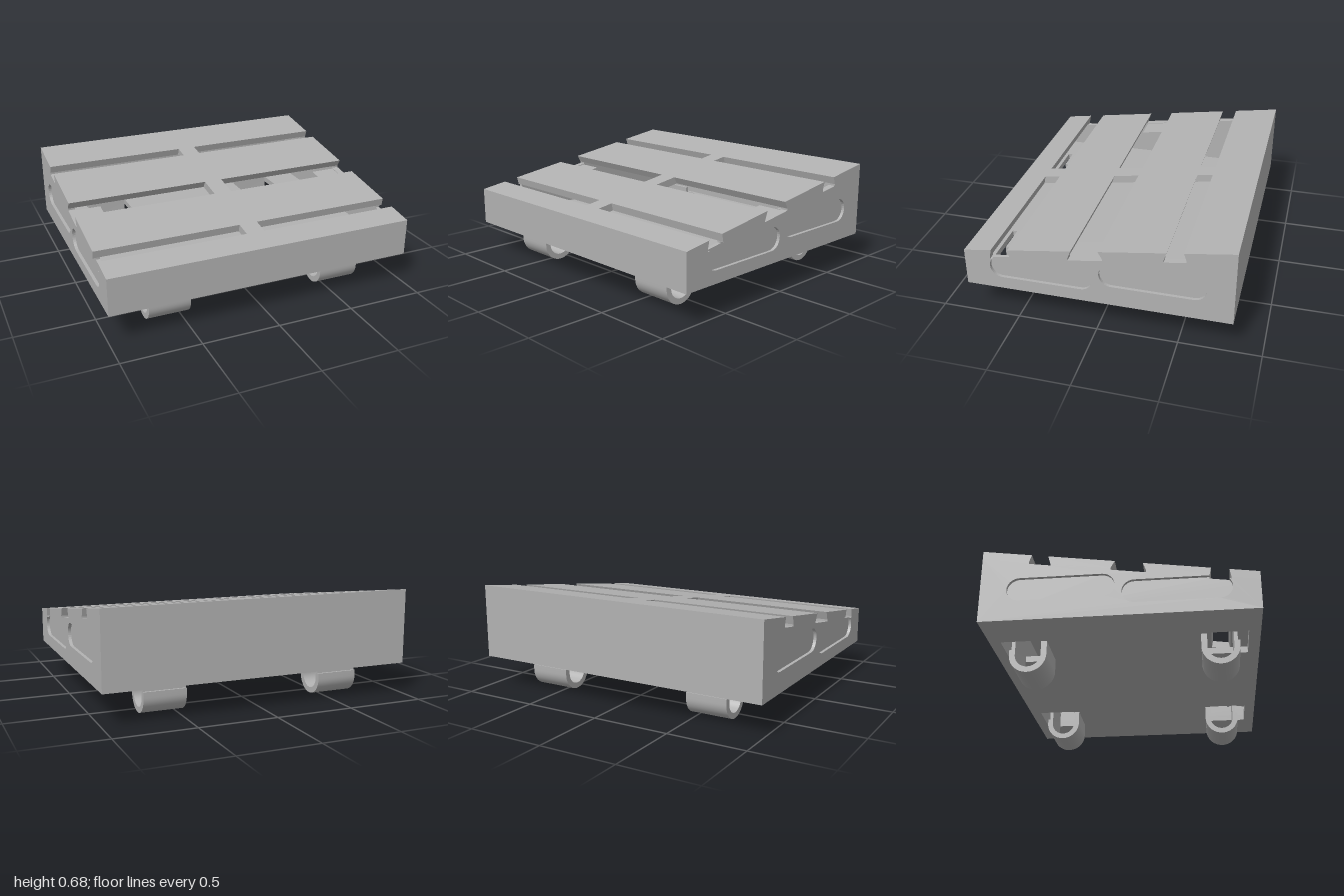
import * as THREE from 'three';
import { toCreasedNormals } from 'three/addons/utils/BufferGeometryUtils.js';

const SLAB = 0.05;    // thickness of the sloped deck
const NOTCH = 0.062;  // depth of the slots where they cut the side walls
const topY = z => 0.56 - 0.1463 * z;

// Slots across the deck, front to back: [front, back] at the surface and at the underside
const SLOTS = [
  { top: [0.645, 0.54], low: [0.655, 0.53] },
  { top: [0.145, -0.02], low: [0.165, -0.045] },
  { top: [-0.42, -0.52], low: [-0.405, -0.535] },
];

// Extrudes a (z, y) outline from x0 to x1
function prism(outline, x0, x1, holes = []) {
  const shape = new THREE.Shape(outline.map(p => new THREE.Vector2(p[0], p[1])));
  for (const h of holes) shape.holes.push(new THREE.Path(h.map(p => new THREE.Vector2(p[0], p[1]))));
  const g = new THREE.ExtrudeGeometry(shape, { depth: x1 - x0, bevelEnabled: false });
  g.rotateY(-Math.PI / 2);
  g.translate(x1, 0, 0);
  return g;
}

function arc(cz, cy, r, a0, a1, n = 16) {
  return Array.from({ length: n + 1 }, (_, i) => {
    const a = a0 + (a1 - a0) * i / n;
    return [cz + r * Math.cos(a), cy + r * Math.sin(a)];
  });
}

// Side wall outline; the front grip recess runs into the front slot on the outer layer
function wallOutline(withGrip) {
  const under = z => [z, topY(z) - SLAB];
  const notch = z => [z, topY(z) - NOTCH];
  const pts = [[-0.82, 0.2], [0.82, 0.2], under(0.82)];
  SLOTS.forEach(({ low: [f, b] }, i) => {
    pts.push(under(f), notch(f));
    if (i === 0 && withGrip) {
      pts.push(...arc(0.585, 0.355, 0.075, 0.707, -Math.PI / 2));
      pts.push(...arc(0.095, 0.355, 0.075, -Math.PI / 2, -Math.PI * 1.5));
      pts.push([b, 0.43]);
    } else pts.push(notch(b));
    pts.push(under(b));
  });
  pts.push(under(-0.82));
  return pts;
}

export function createModel() {
  const model = new THREE.Group();
  model.name = 'slopedPlatform';
  const grey = new THREE.MeshStandardMaterial({ color: 0xb2b2b2 });
  grey.name = 'plain grey';
  const add = (name, geometry) => {
    const m = new THREE.Mesh(geometry, grey);
    m.name = name;
    model.add(m);
    return m;
  };
  // Sloped slab piece with separate surface and underside limits
  const slab = (tf, tb, lf, lb, x0, x1) => prism([
    [lf, topY(lf) - SLAB], [tf, topY(tf)], [tb, topY(tb)], [lb, topY(lb) - SLAB],
  ], x0, x1);

  // Deck boards between the slots, and the bridges joining them
  for (let i = 0; i <= 3; i++) {
    const a = SLOTS[i - 1], b = SLOTS[i];
    add('deckBoard' + (i + 1), slab(
      a ? a.top[1] : 0.82, b ? b.top[0] : -0.82,
      a ? a.low[1] : 0.82, b ? b.low[0] : -0.82, -1, 1));
  }
  SLOTS.forEach((s, i) => add('deckBridge' + (i + 1),
    slab(s.top[0], s.top[1], s.low[0], s.low[1], -0.06, 0.06)));

  // Side walls in two layers, so the grip openings become shallow recesses
  const rearGrip = [
    ...arc(-0.095, 0.405, 0.075, Math.PI / 2, -Math.PI / 2),
    ...arc(-0.585, 0.405, 0.075, -Math.PI / 2, -Math.PI * 1.5),
  ];
  const outer = wallOutline(true), inner = wallOutline(false);
  for (const [side, s] of [['left', 1], ['right', -1]]) {
    const span = (a, b) => s > 0 ? [a, b] : [-b, -a];
    add(side + 'WallOuter', prism(outer, ...span(0.98, 1), [rearGrip]));
    add(side + 'WallInner', prism(inner, ...span(0.955, 0.98)));
    // Sloped shelf inside the middle slot
    const d = 0.066, t = 0.025, f = 0.16, b = -0.04;
    add(side + 'Shelf', prism([
      [f, topY(f) - d - t], [f, topY(f) - d], [b, topY(b) - d], [b, topY(b) - d - t],
    ], ...span(0.79, 0.956)));
  }

  // Front and back walls
  for (const [name, a, b] of [['frontWall', 0.775, 0.82], ['backWall', -0.82, -0.775]]) {
    add(name, prism([[a, 0.2], [b, 0.2], [b, topY(b) - SLAB], [a, topY(a) - SLAB]], -0.955, 0.955));
  }

  // Floor with an opening above each clip
  const floor = new THREE.Shape([[-0.955, -0.775], [0.955, -0.775], [0.955, 0.775], [-0.955, 0.775]]
    .map(p => new THREE.Vector2(...p)));
  for (const sx of [1, -1]) for (const sz of [1, -1]) {
    floor.holes.push(new THREE.Path([[0.44, 0.5], [0.73, 0.5], [0.73, 0.75], [0.44, 0.75]]
      .map(([x, z]) => new THREE.Vector2(sx * x, sz * z))));
  }
  const floorGeometry = new THREE.ExtrudeGeometry(floor, { depth: 0.04, bevelEnabled: false });
  floorGeometry.rotateX(-Math.PI / 2);
  floorGeometry.translate(0, 0.2, 0);
  add('floor', floorGeometry);

  // U-shaped clips: fixed inner arm, free outer arm with a lip
  const clip = [
    [0.465, 0.205], ...arc(0.58, 0.115, 0.115, Math.PI, Math.PI * 2, 24),
    [0.695, 0.15], [0.681, 0.15], [0.681, 0.3], [0.659, 0.3],
    ...arc(0.58, 0.115, 0.079, Math.PI * 2, Math.PI, 24), [0.501, 0.205],
  ];
  for (const [end, sz] of [['front', 1], ['back', -1]]) {
    const outline = clip.map(([z, y]) => [z * sz, y]);
    for (const [side, x0] of [['Left', 0.45], ['Right', -0.72]]) {
      add(end + side + 'Clip', toCreasedNormals(prism(outline, x0, x0 + 0.27), 0.5));
    }
  }
  return model;
}
